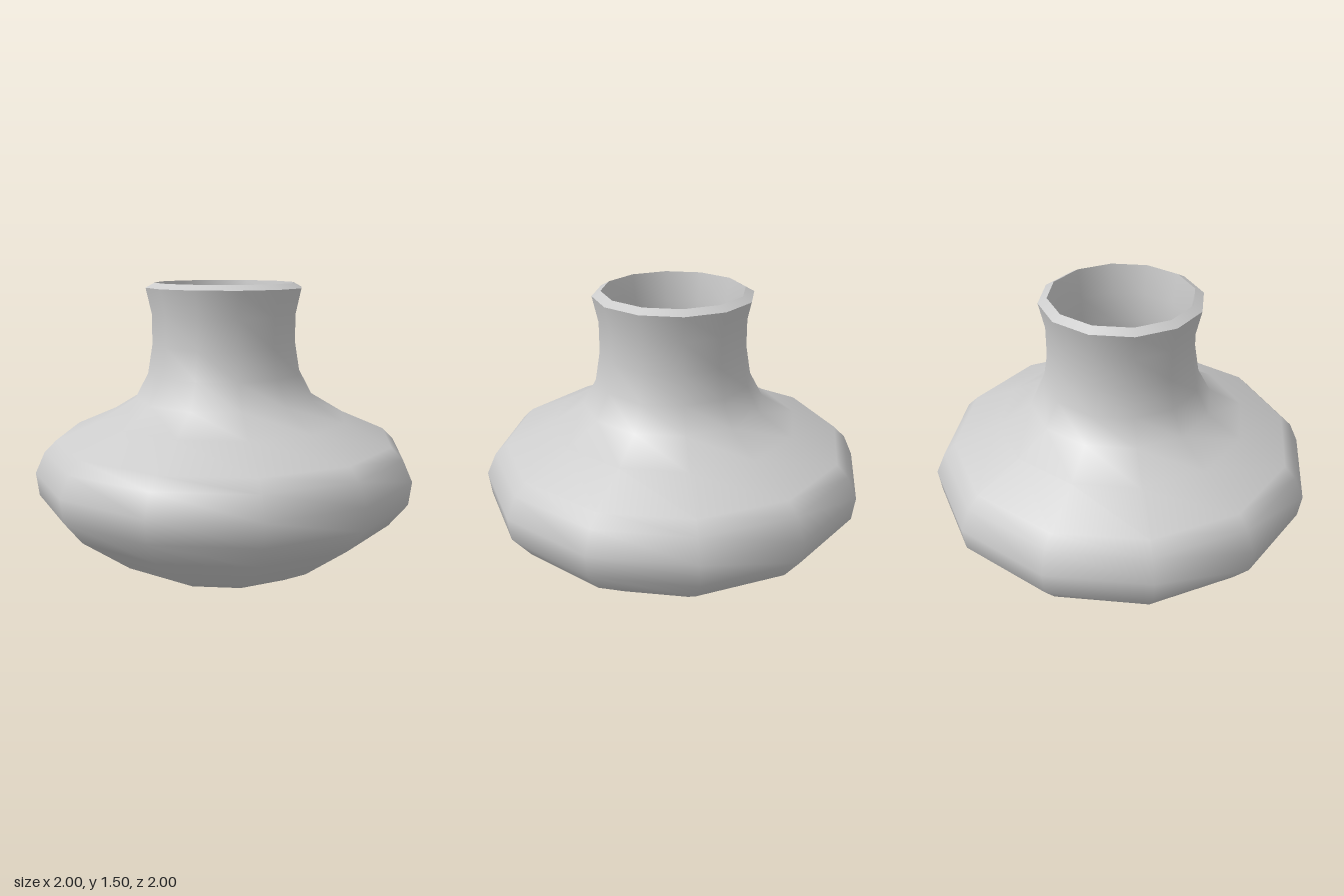
import * as THREE from 'three';

const SIDES = 12;

// Revolve a profile of [radius, height] points into a smooth twelve-sided surface
function revolve(name, profile, material) {
  const points = profile.map(([r, y]) => new THREE.Vector2(r, y));
  const mesh = new THREE.Mesh(new THREE.LatheGeometry(points, SIDES), material);
  mesh.name = name;
  return mesh;
}

export function createModel() {
  const group = new THREE.Group();
  group.name = 'vase';
  const material = new THREE.MeshStandardMaterial({ color: 0xcccccc });

  // Outer wall: flat base, wide squat belly, shoulder and flared neck
  const outer = [
    [0, 0], [0.47, 0.005], [0.625, 0.085], [0.89, 0.28], [0.985, 0.4],
    [1, 0.52], [0.95, 0.63], [0.89, 0.69], [0.65, 0.795], [0.475, 0.9],
    [0.405, 1.03], [0.38, 1.18], [0.38, 1.335], [0.41, 1.47],
  ];

  // Sloping lip that closes the wall thickness
  const lip = [[0.41, 1.47], [0.365, 1.495]];

  // Inner wall: follows the outer one at wall thickness, from the lip to the floor
  const inner = [
    [0.365, 1.495], [0.34, 1.34], [0.34, 1.18], [0.365, 1.02], [0.445, 0.865],
    [0.63, 0.755], [0.865, 0.655], [0.915, 0.605], [0.955, 0.52], [0.945, 0.415],
    [0.86, 0.31], [0.605, 0.125], [0.46, 0.05], [0, 0.045],
  ];

  group.add(
    revolve('outerWall', outer, material),
    revolve('lip', lip, material),
    revolve('innerWall', inner, material),
  );
  return group;
}
